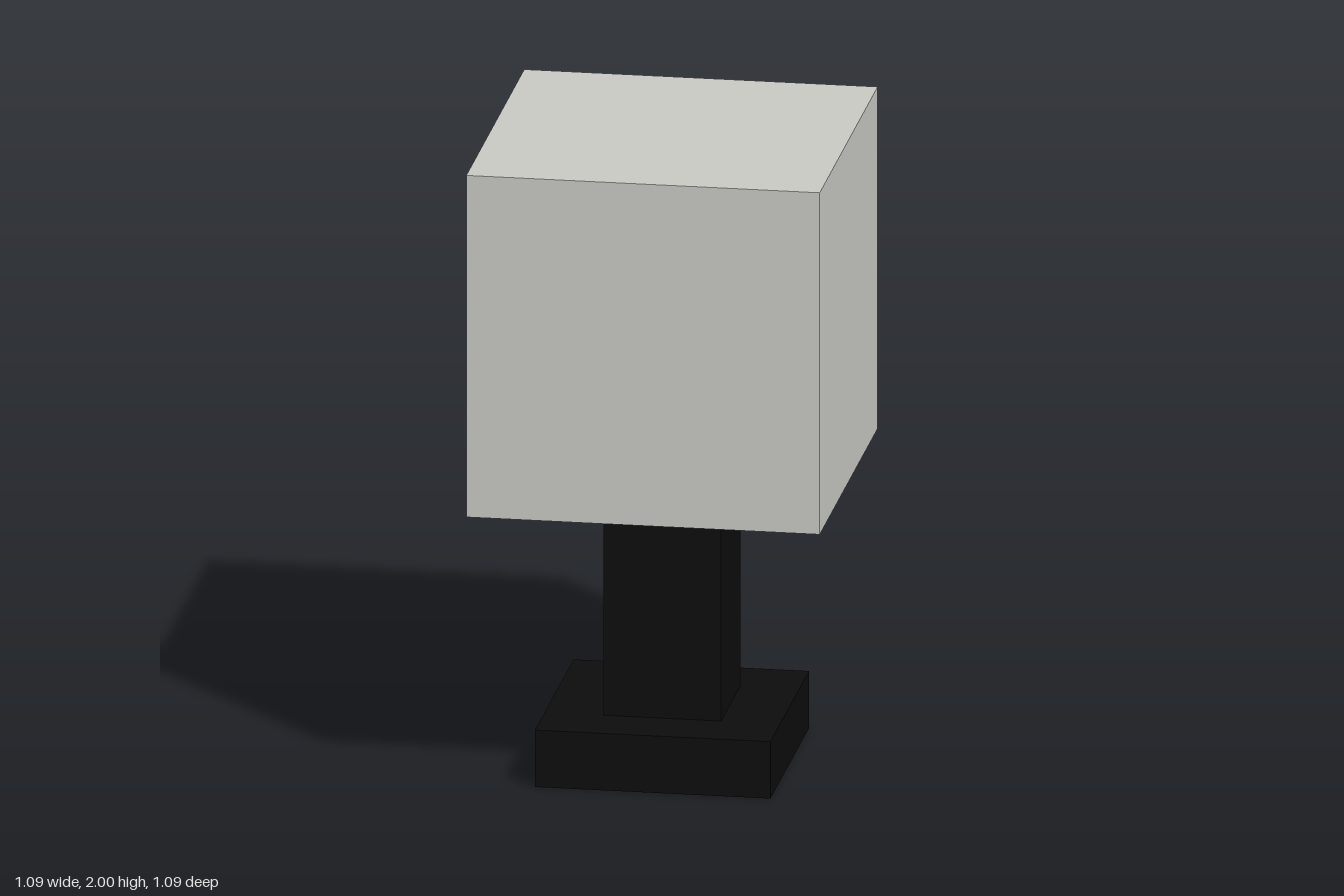
import * as THREE from 'three';

const U = 1 / 11; // modelling unit

export function createModel() {
  const lamp = new THREE.Group();
  lamp.name = 'tableLamp';

  const black = new THREE.MeshStandardMaterial({ color: 0x0d0d0d });
  black.name = 'black';
  const paleGrey = new THREE.MeshStandardMaterial({ color: 0xcacac5 });
  paleGrey.name = 'pale grey';

  // Square block standing on the given height, all in units
  function block(name, width, height, bottom, material) {
    const mesh = new THREE.Mesh(
      new THREE.BoxGeometry(width * U, height * U, width * U), material);
    mesh.name = name;
    mesh.position.y = (bottom + height / 2) * U;
    lamp.add(mesh);
  }

  block('base', 8, 2, 0, black);
  block('stem', 4, 8, 2, black);
  block('shade', 12, 12, 10, paleGrey);

  return lamp;
}
